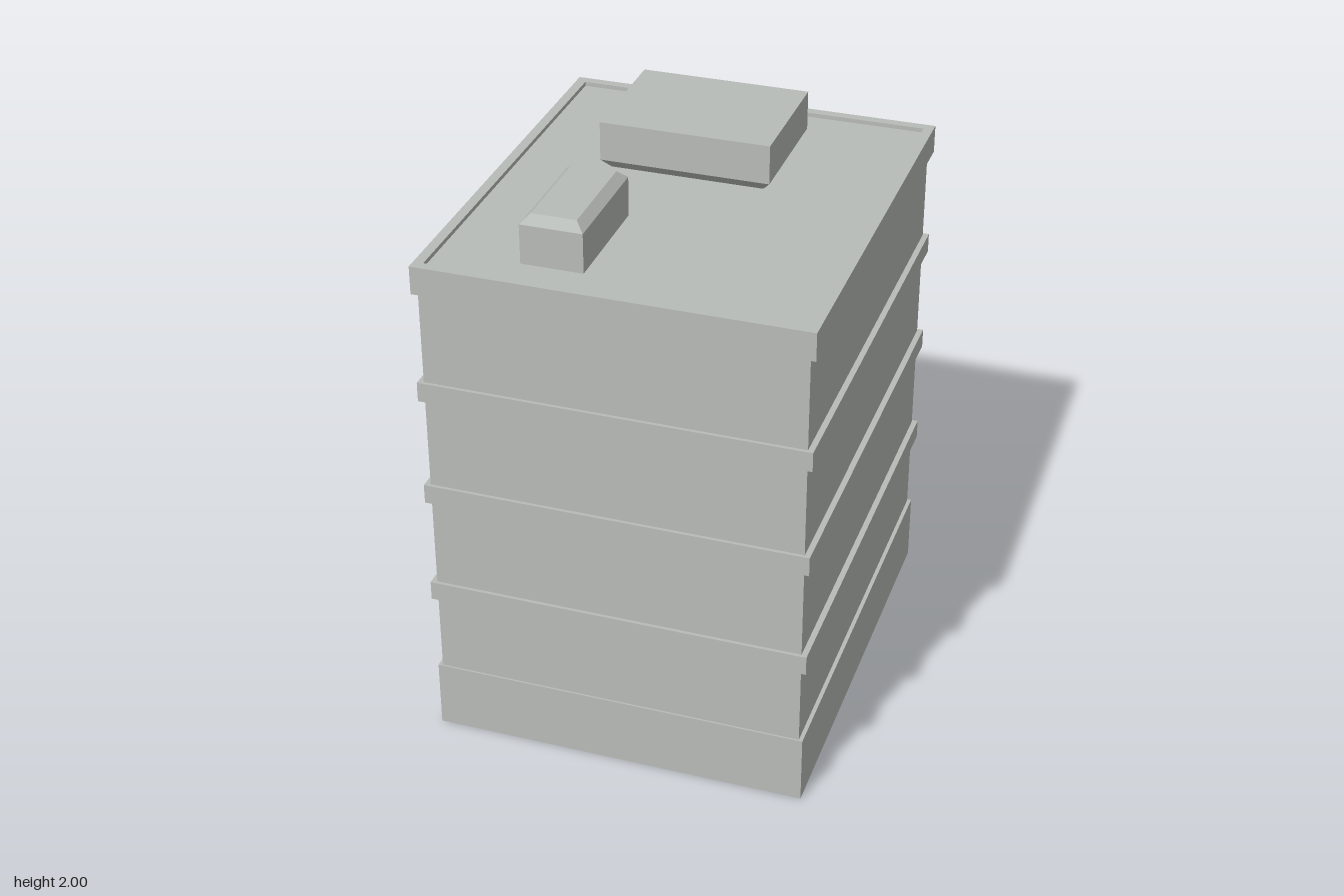
import * as THREE from 'three';

const concrete = new THREE.MeshStandardMaterial({ color: 0xb8bcb8 });
concrete.name = 'concrete grey';
const glass = new THREE.MeshStandardMaterial({ color: 0x5a5252 });
glass.name = 'dark window';

const ROOF = 1.825, WALL_X = 0.65, WALL_Z = 0.758;

function add(parent, name, geometry, material = concrete) {
  const mesh = new THREE.Mesh(geometry, material);
  mesh.name = name;
  parent.add(mesh);
  return mesh;
}

// Box given by its limits on each axis
function block(x0, x1, y0, y1, z0, z1) {
  return new THREE.BoxGeometry(x1 - x0, y1 - y0, z1 - z0)
    .translate((x0 + x1) / 2, (y0 + y1) / 2, (z0 + z1) / 2);
}

// Box whose top (end = 1) or bottom (end = -1) is drawn inwards
function taperedBlock(x0, x1, y0, y1, z0, z1, inset, end) {
  const g = block(x0, x1, y0, y1, z0, z1);
  const p = g.attributes.position, mid = [(x0 + x1) / 2, (y0 + y1) / 2, (z0 + z1) / 2];
  for (let i = 0; i < p.count; i++) {
    if ((p.getY(i) - mid[1]) * end < 0) continue;
    p.setX(i, p.getX(i) - Math.sign(p.getX(i) - mid[0]) * inset);
    p.setZ(i, p.getZ(i) - Math.sign(p.getZ(i) - mid[2]) * inset);
  }
  g.computeVertexNormals();
  return g;
}

// Rectangular frame in the XY plane, extruded along +z
function frame(halfW, halfH, innerW, innerH, depth) {
  const rect = (target, w, h) =>
    target.moveTo(-w, -h).lineTo(w, -h).lineTo(w, h).lineTo(-w, h).closePath();
  const shape = rect(new THREE.Shape(), halfW, halfH);
  shape.holes.push(rect(new THREE.Path(), innerW, innerH));
  return new THREE.ExtrudeGeometry(shape, { depth, bevelEnabled: false });
}

// Horizontal ring standing between two heights
function ring(halfX, halfZ, innerX, innerZ, y0, y1) {
  return frame(halfX, halfZ, innerX, innerZ, y1 - y0).rotateX(-Math.PI / 2).translate(0, y0, 0);
}

// Raised surround on the -x wall
function surround(z, y, halfW, halfH, border) {
  return frame(halfW, halfH, halfW - border, halfH - border, 0.008)
    .rotateY(-Math.PI / 2).translate(-WALL_X, y, z);
}

export function createModel() {
  const model = new THREE.Group();
  model.name = 'apartmentBlock';

  // Hollow plinth with a step inside
  add(model, 'plinthFoot', ring(0.664, 0.765, 0.645, 0.746, 0, 0.07));
  add(model, 'plinth', ring(0.664, 0.765, 0.62, 0.72, 0.07, 0.25));

  // Main walls and the bands between floors
  add(model, 'walls', block(-WALL_X, WALL_X, 0.25, 1.76, -WALL_Z, WALL_Z));
  for (const y of [0.54, 0.94, 1.34]) {
    add(model, 'floorBand', block(-0.67, 0.67, y, y + 0.07, -0.77, 0.77));
  }

  // Roof with a low parapet
  add(model, 'roofSlab', block(-0.64, 0.64, 1.745, ROOF, -0.74, 0.74));
  add(model, 'parapet', ring(0.67, 0.77, 0.635, 0.735, 1.74, 1.84));

  // Large roof housing, undercut at its foot
  const housing = new THREE.Group();
  housing.name = 'roofHousing';
  add(housing, 'housingBody', block(-0.345, 0.257, 1.86, 2, -0.567, -0.105));
  add(housing, 'housingFoot', taperedBlock(-0.345, 0.257, ROOF, 1.86, -0.567, -0.105, 0.03, -1));
  model.add(housing);

  // Small roof hatch with a bevelled top
  const hatch = new THREE.Group();
  hatch.name = 'roofHatch';
  add(hatch, 'hatchBody', block(-0.353, -0.138, ROOF, 1.965, 0.19, 0.615));
  add(hatch, 'hatchTop', taperedBlock(-0.353, -0.138, 1.965, 1.995, 0.19, 0.615, 0.03, 1));
  model.add(hatch);

  // Windows, door and stair strip on the -x side
  const floors = [0.39, 0.78, 1.18, 1.58];
  const columns = [-0.57, -0.34, -0.11, 0.11, 0.55];
  floors.forEach((y, floor) => {
    columns.forEach((z, column) => {
      if (floor === 0 && column === 1) {
        add(model, 'door', surround(z, 0.38, 0.068, 0.13, 0.018));
        return;
      }
      add(model, 'windowFrame', surround(z, y, 0.06, 0.095, 0.018));
      add(model, 'windowPane',
        block(-WALL_X - 0.003, -WALL_X + 0.003, y - 0.077, y + 0.077, z - 0.042, z + 0.042), glass);
    });
    const bottom = floor === 0 ? 0.25 : 0.21 + 0.4 * floor;
    add(model, 'stairStrip',
      block(-WALL_X - 0.013, -WALL_X, bottom, 0.54 + 0.4 * floor, 0.29, 0.43));
  });

  return model;
}
